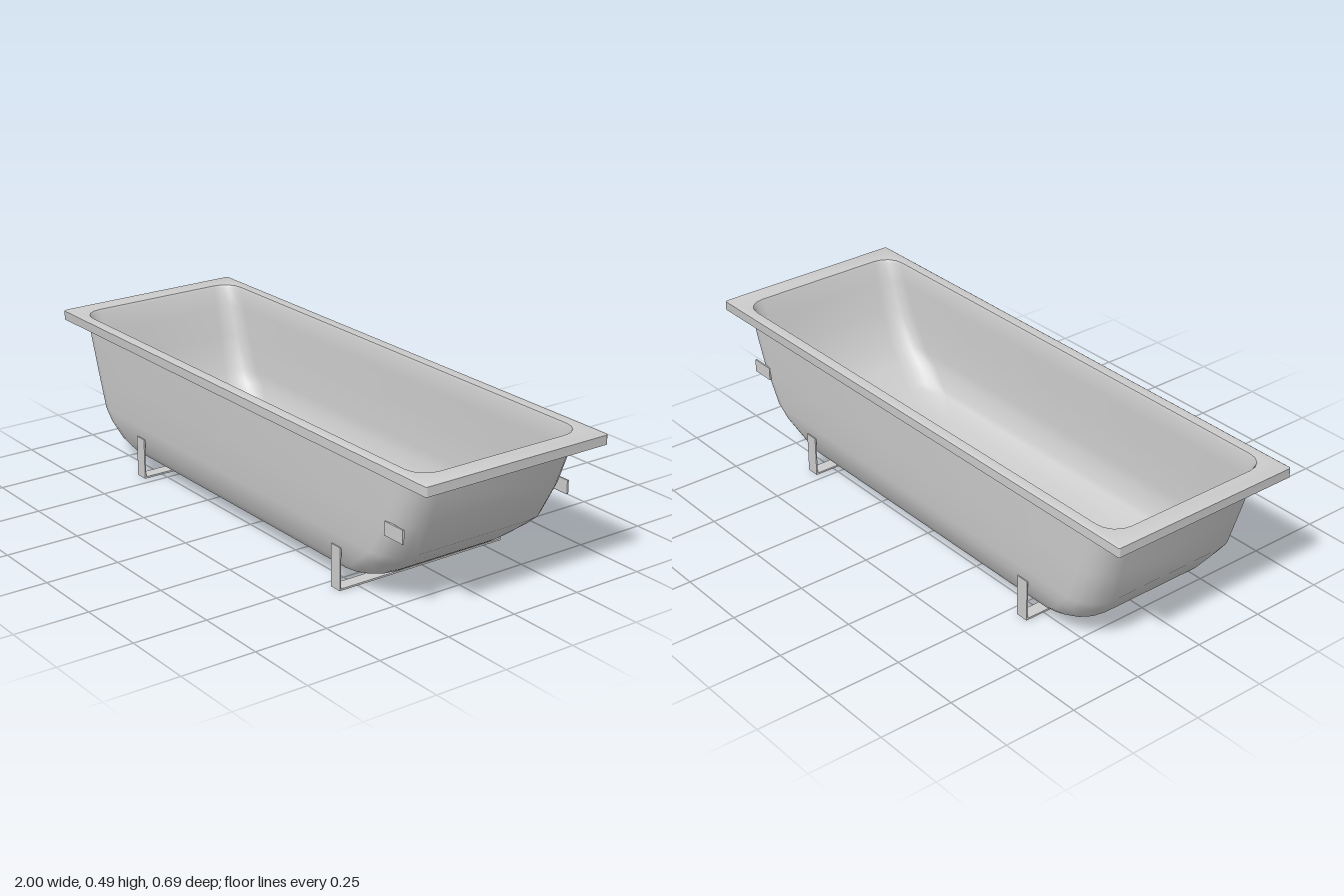
import * as THREE from 'three';
import { toCreasedNormals } from 'three/addons/utils/BufferGeometryUtils.js';

const CORNER_STEPS = 4;

// Rounded rectangle in the horizontal plane at height y
function ring([y, xl, xr, hz, r]) {
  const pts = [];
  const corners = [[xr - r, hz - r], [xl + r, hz - r], [xl + r, -hz + r], [xr - r, -hz + r]];
  corners.forEach(([cx, cz], q) => {
    for (let i = 0; i <= CORNER_STEPS; i++) {
      const a = (q + i / CORNER_STEPS) * Math.PI / 2;
      pts.push([cx + r * Math.cos(a), y, cz + r * Math.sin(a)]);
    }
  });
  return pts;
}

// Skin joining successive rings
function loft(sections) {
  const rings = sections.map(ring);
  const n = rings[0].length;
  const index = [];
  for (let i = 0; i < rings.length - 1; i++) {
    for (let j = 0; j < n; j++) {
      const k = (j + 1) % n;
      const a = i * n + j, b = i * n + k, c = a + n, d = b + n;
      index.push(a, b, c, b, d, c);
    }
  }
  const g = new THREE.BufferGeometry();
  g.setAttribute('position', new THREE.Float32BufferAttribute(rings.flat(2), 3));
  g.setIndex(index);
  return toCreasedNormals(g, 0.9);
}

export function createModel() {
  const group = new THREE.Group();
  const material = new THREE.MeshStandardMaterial({ color: 0xcccccc, side: THREE.DoubleSide });

  const add = (name, geometry, x = 0, y = 0, z = 0, parent = group) => {
    const mesh = new THREE.Mesh(geometry, material);
    mesh.name = name;
    mesh.position.set(x, y, z);
    parent.add(mesh);
    return mesh;
  };

  // Outer shell sections, top to bottom: y, left end, right end, half width, corner radius
  const outer = [
    [0.478, -0.942, 0.936, 0.317, 0.08],
    [0.40, -0.92, 0.915, 0.317, 0.085],
    [0.30, -0.89, 0.878, 0.317, 0.09],
    [0.18, -0.855, 0.815, 0.317, 0.1],
    [0.14, -0.826, 0.77, 0.315, 0.105],
    [0.085, -0.785, 0.70, 0.297, 0.11],
    [0.065, -0.74, 0.67, 0.288, 0.11],
    [0.037, -0.67, 0.57, 0.225, 0.09],
  ];
  // Inner basin follows the shell at wall thickness
  const wall = 0.012;
  const inner = outer.slice(1).reverse().map(([y, xl, xr, hz, r]) =>
    [y + wall, xl + wall, xr - wall, hz - wall, r - wall]);

  // Tub: basin, rolled rim with hollow skirt, then outer shell
  add('tub', loft([
    [0.037 + wall, -0.05, -0.05, 0, 0],
    ...inner,
    [0.477, -0.929, 0.924, 0.305, 0.068],
    [0.487, -0.935, 0.929, 0.309, 0.07],
    [0.49, -0.994, 0.994, 0.339, 0.004],
    [0.486, -1, 1, 0.345, 0.006],
    [0.455, -1, 1, 0.345, 0.006],
    [0.455, -0.994, 0.994, 0.339, 0.004],
    [0.478, -0.99, 0.99, 0.335, 0.004],
    ...outer,
    [0.037, -0.05, -0.05, 0, 0],
  ]));

  // Drain
  const drain = new THREE.SphereGeometry(0.04, 20, 6, 0, Math.PI * 2, 0, Math.PI / 2);
  drain.scale(1, 0.15, 1);
  add('drain', drain, -0.57, 0.049, 0);

  // U-shaped strap feet
  for (const x of [-0.555, 0.55]) {
    const foot = new THREE.Group();
    foot.name = 'footStrap';
    foot.position.x = x;
    group.add(foot);
    add('footBase', new THREE.BoxGeometry(0.045, 0.006, 0.638), 0, 0.003, 0, foot);
    for (const s of [-1, 1]) {
      add('footUpright', new THREE.BoxGeometry(0.045, 0.142, 0.005), 0, 0.071, s * 0.3165, foot);
    }
  }

  // Flat side brackets at the left end
  for (const s of [-1, 1]) {
    add('sideBracket', new THREE.BoxGeometry(0.085, 0.045, 0.006), 0.827, 0.282, s * 0.317);
  }

  return group;
}
